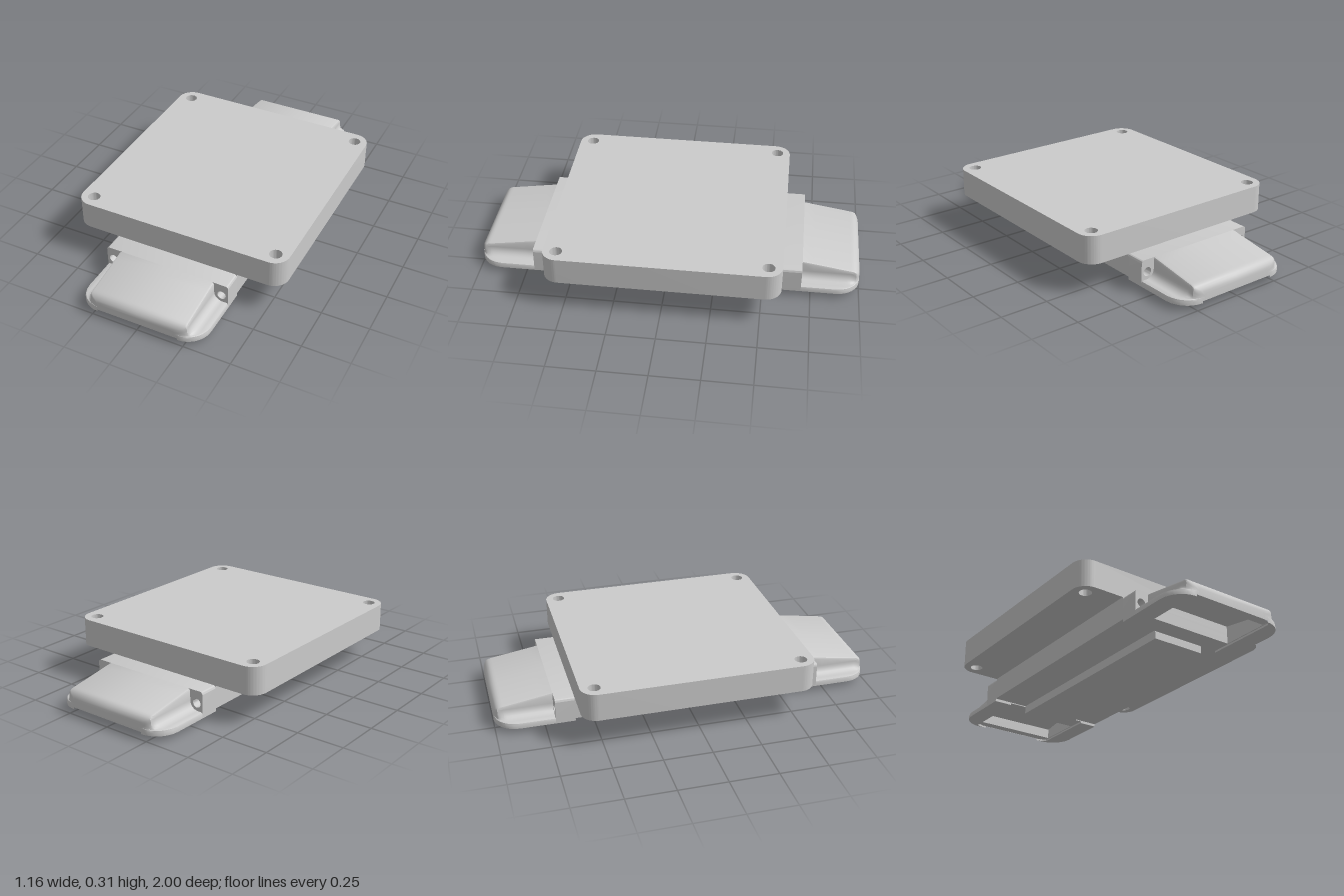
import * as THREE from 'three';
import { toCreasedNormals } from 'three/addons/utils/BufferGeometryUtils.js';

const grey = new THREE.MeshStandardMaterial({ color: 0xcccccc });

function mesh(name, geometry) {
  const m = new THREE.Mesh(toCreasedNormals(geometry, 0.6), grey);
  m.name = name;
  return m;
}

function box(name, w, y0, y1, d) {
  const m = mesh(name, new THREE.BoxGeometry(w, y1 - y0, d));
  m.position.y = (y0 + y1) / 2;
  return m;
}

function hole(x, y, r) {
  return new THREE.Path().absarc(x, y, r, 0, Math.PI * 2, true);
}

// Rounded rectangular plate with a hole in each corner
function plate() {
  const w = 0.58, d = 0.6, r = 0.08;
  const s = new THREE.Shape();
  s.absarc(w - r, d - r, r, 0, Math.PI / 2);
  s.absarc(r - w, d - r, r, Math.PI / 2, Math.PI);
  s.absarc(r - w, r - d, r, Math.PI, Math.PI * 1.5);
  s.absarc(w - r, r - d, r, Math.PI * 1.5, Math.PI * 2);
  for (const x of [-0.51, 0.51]) for (const z of [-0.53, 0.53]) s.holes.push(hole(x, z, 0.032));
  const g = new THREE.ExtrudeGeometry(s, { depth: 0.145, bevelEnabled: false, curveSegments: 16 });
  g.rotateX(-Math.PI / 2).translate(0, 0.165, 0);
  return mesh('topPlate', g);
}

// End block with two screw holes and a notched underside
function endBlock() {
  const s = new THREE.Shape();
  s.moveTo(0.34, 0.03);
  s.lineTo(0.34, 0.15);
  s.absarc(0.325, 0.15, 0.015, 0, Math.PI / 2);
  s.absarc(-0.325, 0.15, 0.015, Math.PI / 2, Math.PI);
  s.lineTo(-0.34, 0.03);
  s.lineTo(-0.24, 0.03);
  s.lineTo(-0.24, 0.04);
  s.lineTo(0.24, 0.04);
  s.lineTo(0.24, 0.03);
  s.closePath();
  for (const x of [-0.305, 0.305]) s.holes.push(hole(x, 0.1, 0.023));
  const g = new THREE.ExtrudeGeometry(s, { depth: 0.1, bevelEnabled: false, curveSegments: 12 });
  return mesh('endBlock', g.translate(0, 0, 0.6));
}

// One closed cross-section of the hollow nose at depth z
function noseSection(z, solid, collapsed) {
  const w = z < 0.88 ? 0.34 : 0.22 + Math.sqrt(Math.max(0, 0.0144 - (z - 0.88) ** 2));
  let h = 0.165 - 0.16 * (z - 0.7);
  if (z > 0.96) h -= 0.04 - Math.sqrt(Math.max(0, 0.0016 - (z - 0.96) ** 2));
  const i = Math.min(0.265, w - 0.015), f = 0.06;
  const rx = Math.max(0, Math.min(0.045, w - i - 0.012));
  const ry = Math.min(0.045, h - 0.012 - f);
  const half = [[0, h], [i - 0.012, h], [i - 0.004, h - 0.004], [i, h - 0.012]];
  // concave fillet from the raised middle down to the side flange
  for (let k = 0; k <= 6; k++) {
    const t = (k / 6) * Math.PI / 2;
    half.push([i + rx * (1 - Math.cos(t)), f + ry * (1 - Math.sin(t))]);
  }
  const n = Math.min(0.24, w - 0.04);
  const c = solid ? 0.041 : h - 0.03;
  half.push([w - 0.01, f], [w - 0.003, f - 0.003], [w, f - 0.01], [w, 0.03],
    [n, 0.03], [n, 0.04], [n - 0.005, 0.04], [n - 0.005, c], [0, c]);
  const ring = half.concat(half.map(([x, y]) => [-x, y]).reverse());
  return ring.map(([x, y]) => [x, collapsed ? Math.min(y, 0.04) : y, z]);
}

// Sloping hollow nose lofted through its cross-sections
function nose() {
  const sections = [0.7, 0.76, 0.82, 0.88, 0.91, 0.935, 0.95].map(z => noseSection(z, false));
  for (const z of [0.951, 0.962, 0.972, 0.981, 0.989, 0.995, 0.9985, 1]) sections.push(noseSection(z, true));
  sections.push(noseSection(1, true, true));
  const n = sections[0].length, index = [];
  for (let s = 0; s < sections.length - 1; s++) {
    for (let j = 0; j < n; j++) {
      const a = s * n + j, b = s * n + (j + 1) % n;
      index.push(a, a + n, b, b, a + n, b + n);
    }
  }
  const g = new THREE.BufferGeometry();
  g.setAttribute('position', new THREE.Float32BufferAttribute(sections.flat(2), 3));
  g.setIndex(index);
  return mesh('nose', g);
}

export function createModel() {
  const model = new THREE.Group();
  model.name = 'mountingPlateAssembly';
  model.add(plate());
  model.add(box('body', 0.68, 0.045, 0.165, 1.2));
  model.add(box('bottomRail', 0.29, 0, 0.045, 1.2));
  // Matching end caps, front and back
  for (const [name, turn] of [['frontEndCap', 0], ['backEndCap', Math.PI]]) {
    const cap = new THREE.Group();
    cap.name = name;
    cap.add(endBlock(), nose());
    cap.rotation.y = turn;
    model.add(cap);
  }
  return model;
}
